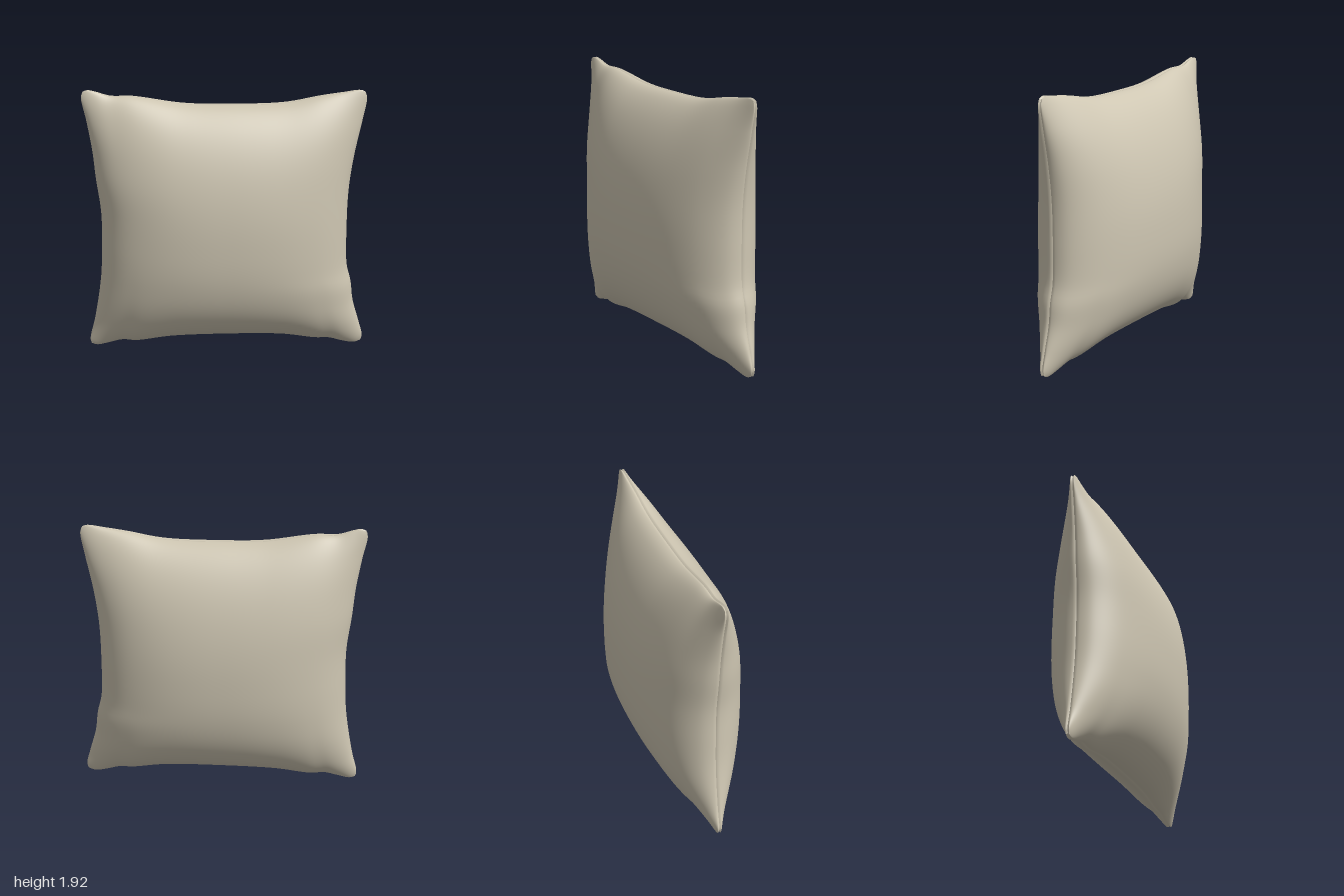
import * as THREE from 'three';

const N = 72; // grid cells across each half
const curve = (pts) => new THREE.CatmullRomCurve3(pts.map(([x, y]) => new THREE.Vector3(x, y, 0)), false, 'centripetal');

// Corners and the four softly sagging seam edges
const BL = [-0.99, 0.025], BR = [0.988, 0.02], TL = [-0.99, 1.915], TR = [0.962, 1.9];
const bottom = curve([BL, [-0.95, 0.012], [-0.86, 0.03], [-0.76, 0.054], [-0.66, 0.048], [-0.4, 0.086],
  [0, 0.1], [0.4, 0.09], [0.65, 0.05], [0.75, 0.046], [0.85, 0.018], [0.94, 0.004], BR]);
const top = curve([TL, [-0.955, 1.926], [-0.9, 1.915], [-0.8, 1.886], [-0.65, 1.883], [-0.3, 1.83],
  [0, 1.82], [0.4, 1.83], [0.65, 1.875], [0.8, 1.897], [0.93, 1.912], TR]);
const left = curve([BL, [-0.998, 0.06], [-0.96, 0.22], [-0.905, 0.55], [-0.89, 0.8], [-0.888, 1.05],
  [-0.917, 1.3], [-0.935, 1.5], [-0.97, 1.72], [-1.0, 1.88], TL]);
const right = curve([BR, [0.998, 0.06], [0.968, 0.18], [0.92, 0.35], [0.9, 0.5], [0.868, 0.63],
  [0.858, 0.9], [0.864, 1.2], [0.895, 1.45], [0.945, 1.7], [0.972, 1.86], TR]);

// Rows crowd towards the seam, where the cloth curves most
const params = Array.from({ length: N + 1 }, (_, i) => Math.sin((i / N - 0.5) * Math.PI));
const sample = (c) => params.map((p) => c.getPointAt((p + 1) / 2));
const edges = { b: sample(bottom), t: sample(top), l: sample(left), r: sample(right) };

// Outline stretched across the inside of the four edges
function planPoint(i, j) {
  const s = (params[i] + 1) / 2, t = (params[j] + 1) / 2;
  const mix = (k, n) => {
    const e = edges;
    const a = (1 - s) * e.l[j][k] + s * e.r[j][k] + (1 - t) * e.b[i][k] + t * e.t[i][k];
    return a - ((1 - s) * (1 - t) * BL[n] + s * (1 - t) * BR[n] + (1 - s) * t * TL[n] + s * t * TR[n]);
  };
  return [mix('x', 0), mix('y', 1)];
}

// Stuffing depth: fullest a little below the middle, flat at the corners
function depth(u, v) {
  const w = v + 0.12 * (1 - v * v);
  const across = Math.pow(Math.max(0, 1 - Math.pow(Math.abs(u), 2.3)), 0.52);
  const up = Math.pow(Math.max(0, 1 - Math.pow(Math.abs(w), 2.3)), 0.59);
  return 0.011 + 0.369 * across * up * (1 - 0.6 * Math.pow(u * v, 4));
}

// One cloth half; side is +1 for the front and -1 for the back
function half(side) {
  const pos = [], index = [], M = N + 3;
  for (let b = -1; b <= N + 1; b++) {
    for (let a = -1; a <= N + 1; a++) {
      const i = Math.min(N, Math.max(0, a)), j = Math.min(N, Math.max(0, b));
      const [x, y] = planPoint(i, j);
      // the outermost ring tucks into the seam
      const tucked = a !== i || b !== j;
      const k = tucked ? 0.992 : 1;
      pos.push(x * k, 0.96 + (y - 0.96) * k, tucked ? 0 : side * depth(params[i], params[j]));
    }
  }
  for (let b = 0; b < M - 1; b++) {
    for (let a = 0; a < M - 1; a++) {
      const p = b * M + a, q = p + 1, r = p + M, s = r + 1;
      if (side > 0) index.push(p, q, s, p, s, r);
      else index.push(p, s, q, p, r, s);
    }
  }
  const g = new THREE.BufferGeometry();
  g.setAttribute('position', new THREE.Float32BufferAttribute(pos, 3));
  g.setIndex(index);
  g.computeVertexNormals();
  return g;
}

export function createModel() {
  const group = new THREE.Group();
  group.name = 'cushion';
  const cloth = new THREE.MeshStandardMaterial({ color: 0xcec6b2 });
  cloth.name = 'beige cloth';
  for (const [name, side] of [['frontCover', 1], ['backCover', -1]]) {
    const mesh = new THREE.Mesh(half(side), cloth);
    mesh.name = name;
    group.add(mesh);
  }
  return group;
}
